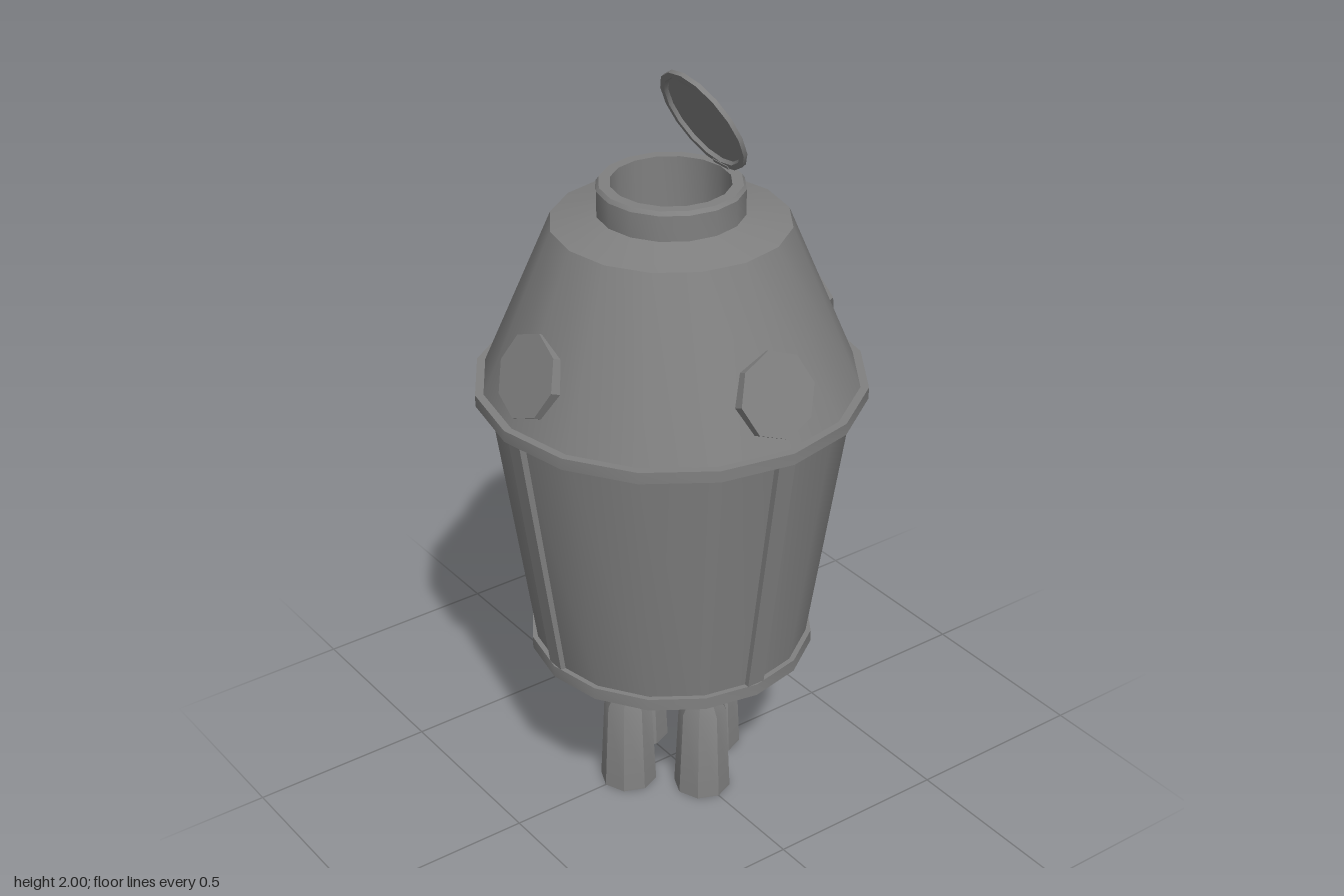
import * as THREE from 'three';
import { toCreasedNormals } from 'three/addons/utils/BufferGeometryUtils.js';

export function createModel() {
  const model = new THREE.Group();
  model.name = 'spaceCapsule';
  const grey = new THREE.MeshStandardMaterial({ color: 0x808080, side: THREE.DoubleSide });
  grey.name = 'hullGrey';

  const add = (name, geometry, parent = model) => {
    const mesh = new THREE.Mesh(geometry, grey);
    mesh.name = name;
    parent.add(mesh);
    return mesh;
  };
  // Turned part: smooth around, sharp across profile corners
  const turned = (profile, sides = 16) => toCreasedNormals(
    new THREE.LatheGeometry(profile.map(([r, y]) => new THREE.Vector2(r, y)), sides), 0.5);

  // Hull, bottom to top
  add('baseCone', turned([[0, 0.33], [0.225, 0.33], [0.35, 0.415], [0.35, 0.43]]));
  add('lowerRing', turned([[0.34, 0.425], [0.375, 0.425], [0.375, 0.458], [0.34, 0.458]]));
  add('lowerHull', turned([[0.36, 0.45], [0.465, 1.18]]));
  add('upperRing', turned([[0.45, 1.172], [0.5, 1.172], [0.5, 1.203], [0.45, 1.203]]));
  add('upperHull', turned([[0.48, 1.2], [0.3, 1.628], [0.18, 1.655]]));

  // Open hatch collar with a well inside
  add('hatchCollar', turned([[0.185, 1.64], [0.185, 1.72], [0.178, 1.73],
    [0.15, 1.73], [0.15, 1.42], [0, 1.42]]));

  // Tilted domed lid with a raised inner lip
  const lid = add('hatchLid', turned([[0, 0.012], [0.128, 0.006], [0.132, -0.004],
    [0.147, -0.004], [0.147, 0.008], [0.08, 0.024], [0, 0.028]]));
  lid.position.set(0.095, 1.862, 0);
  lid.rotation.z = -1.12;
  const hinge = add('hatchHinge', new THREE.BoxGeometry(0.012, 0.03, 0.06));
  hinge.position.set(0.16, 1.728, 0);
  hinge.rotation.z = 0.45;

  // Window, rib and nozzle repeated at the four quarters
  const slope = Math.atan2(0.428, 0.18);
  const windowShape = new THREE.CylinderGeometry(0.11, 0.11, 0.03, 8).toNonIndexed();
  windowShape.computeVertexNormals();
  const ribShape = new THREE.BoxGeometry(0.03, 0.72, 0.05);
  const nozzleShape = turned([[0.062, 0.2], [0.066, 0], [0.076, 0], [0.064, 0.25],
    [0.022, 0.33], [0, 0.34]], 8);
  for (let i = 0; i < 4; i++) {
    const quarter = new THREE.Group();
    quarter.name = 'quarter' + (i + 1);
    quarter.rotation.y = i * Math.PI / 2;
    model.add(quarter);

    const port = add('window', windowShape, quarter);
    port.position.set(0.419, 1.326, 0);
    port.rotation.z = -slope;

    const rib = add('hullRib', ribShape, quarter);
    rib.position.set(0.408, 0.815, 0);
    rib.rotation.z = -0.147;

    add('nozzle', nozzleShape, quarter).position.x = 0.143;
  }
  return model;
}
